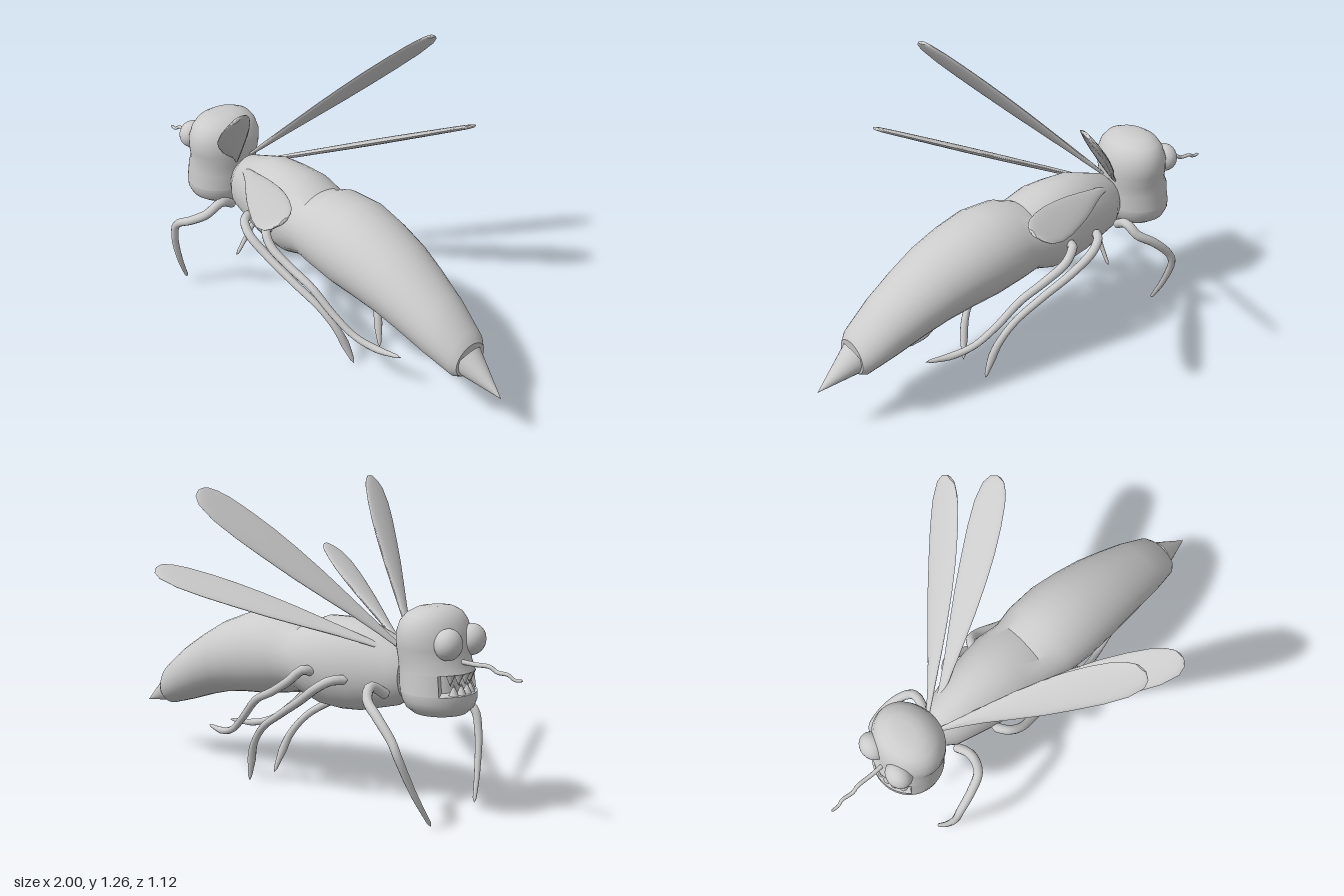
import * as THREE from 'three';
import { toCreasedNormals } from 'three/addons/utils/BufferGeometryUtils.js';

const material = new THREE.MeshStandardMaterial({ color: 0xcccccc });

function add(parent, name, geometry) {
  const mesh = new THREE.Mesh(geometry, material);
  mesh.name = name;
  parent.add(mesh);
  return mesh;
}

// Skin a list of closed rings; point(ring, angle) returns [x, y, z]
function loft(rings, sides, point) {
  const pos = [], index = [];
  rings.forEach((ring, i) => {
    for (let j = 0; j < sides; j++) {
      pos.push(...point(ring, (j / sides) * Math.PI * 2));
      if (i === rings.length - 1) continue;
      const a = i * sides + j, b = i * sides + (j + 1) % sides;
      index.push(a, a + sides, b, b, a + sides, b + sides);
    }
  });
  const g = new THREE.BufferGeometry();
  g.setAttribute('position', new THREE.Float32BufferAttribute(pos, 3));
  g.setIndex(index);
  return toCreasedNormals(g, Math.PI / 5);
}

// Tube through points whose radius follows a list of values, closed at both ends
function taperedTube(points, radii, segments = 40, sides = 10) {
  const curve = new THREE.CatmullRomCurve3(points.map(p => new THREE.Vector3(...p)));
  const g = new THREE.TubeGeometry(curve, segments, 1, sides);
  const p = g.attributes.position, v = new THREE.Vector3();
  for (let i = 0; i <= segments; i++) {
    const t = (i / segments) * (radii.length - 1);
    const k = Math.min(Math.floor(t), radii.length - 2);
    const end = i === 0 || i === segments;
    const r = end ? 0 : THREE.MathUtils.lerp(radii[k], radii[k + 1], t - k);
    const c = curve.getPointAt(i / segments);
    for (let j = 0; j <= sides; j++) {
      const n = i * (sides + 1) + j;
      v.fromBufferAttribute(p, n).sub(c).multiplyScalar(r).add(c);
      p.setXYZ(n, v.x, v.y, v.z);
    }
  }
  return g;
}

// Lens-shaped wing blade: fraction of the length, inner z, outer z, half thickness
const wingRings = [
  [0, 0.04, 0.04, 0], [0, 0.03, 0.05, 0.006], [0.1, 0.065, 0.105, 0.009], [0.2, 0.1, 0.165, 0.011],
  [0.33, 0.145, 0.25, 0.012], [0.46, 0.192, 0.333, 0.013], [0.6, 0.248, 0.415, 0.013], [0.72, 0.302, 0.482, 0.012],
  [0.83, 0.36, 0.535, 0.011], [0.92, 0.415, 0.56, 0.01], [0.965, 0.452, 0.553, 0.009], [0.99, 0.485, 0.53, 0.007],
  [0.995, 0.508, 0.508, 0],
];
function wing(root, tip, side) {
  const dx = tip[0] - root[0], dy = tip[1] - root[1];
  const length = Math.hypot(dx, dy), c = dx / length, s = dy / length;
  return loft(wingRings, 24, ([t, inner, outer, thick], a) => {
    const z = (inner + outer) / 2 + Math.cos(a) * (outer - inner) / 2;
    // the inner edge rides a little higher than the outer edge
    const n = thick * Math.sin(a) * side - 0.2 * (z - 0.04 - 0.47 * t);
    return [root[0] + dx * t - n * s, root[1] + dy * t + n * c, z * side];
  });
}

export function createModel() {
  const model = new THREE.Group();
  model.name = 'insect';

  // Thorax and abdomen: x, bottom, top, half width
  const bodyRings = [
    [-0.48, 0.56, 0.56, 0], [-0.48, 0.46, 0.65, 0.07], [-0.44, 0.43, 0.69, 0.1], [-0.27, 0.385, 0.75, 0.145],
    [-0.18, 0.378, 0.752, 0.162], [-0.09, 0.385, 0.748, 0.172], [0.01, 0.42, 0.71, 0.165], [0.09, 0.405, 0.742, 0.18],
    [0.22, 0.383, 0.746, 0.187], [0.34, 0.372, 0.715, 0.178], [0.46, 0.355, 0.67, 0.165], [0.57, 0.325, 0.61, 0.148],
    [0.69, 0.285, 0.535, 0.128], [0.81, 0.25, 0.44, 0.1], [0.835, 0.262, 0.4, 0.08], [0.82, 0.32, 0.32, 0],
  ];
  add(model, 'body', loft(bodyRings, 32, ([x, lo, hi, w], a) =>
    [x, (lo + hi) / 2 + Math.cos(a) * (hi - lo) / 2, -Math.sin(a) * w]));

  // Stinger
  const stingerAxis = new THREE.Vector3(0.18, -0.09, 0);
  const stinger = add(model, 'stinger', new THREE.ConeGeometry(0.068, stingerAxis.length(), 24));
  stinger.position.set(0.907, 0.28, 0);
  stinger.quaternion.setFromUnitVectors(new THREE.Vector3(0, 1, 0), stingerAxis.clone().normalize());

  // Head: y, front x, back x, half width, mouth depth factor
  const headRings = [
    [0.426, -0.64, -0.64, 0, 1], [0.428, -0.69, -0.58, 0.06, 1], [0.438, -0.735, -0.53, 0.105, 1],
    [0.46, -0.758, -0.505, 0.135, 1], [0.49, -0.768, -0.49, 0.15, 1], [0.52, -0.767, -0.482, 0.155, 1],
    [0.522, -0.767, -0.482, 0.155, 0.55], [0.598, -0.757, -0.475, 0.15, 0.55], [0.6, -0.757, -0.475, 0.15, 1],
    [0.64, -0.74, -0.47, 0.147, 1], [0.69, -0.735, -0.465, 0.158, 1], [0.74, -0.73, -0.466, 0.162, 1],
    [0.785, -0.715, -0.48, 0.148, 1], [0.815, -0.695, -0.505, 0.125, 1], [0.834, -0.665, -0.54, 0.085, 1],
    [0.84, -0.635, -0.57, 0.045, 1], [0.84, -0.605, -0.605, 0, 1],
  ];
  const head = new THREE.Group();
  head.name = 'head';
  model.add(head);
  add(head, 'skull', loft(headRings, 48, ([y, front, back, w, mouth], a) => {
    const k = Math.abs(a - Math.PI) < 0.8 ? mouth : 1;
    return [(front + back) / 2 + k * Math.cos(a) * (back - front) / 2, y, k * Math.sin(a) * w];
  }));

  // Teeth around both jaws
  for (const upper of [true, false]) {
    for (let i = -2; i <= 2; i++) {
      const a = (i + (upper ? 0 : 0.4)) * 0.28;
      const tooth = add(head, upper ? 'upperTooth' : 'lowerTooth', new THREE.ConeGeometry(0.019, 0.045, 8));
      tooth.position.set(-0.615 - 0.128 * Math.cos(a), upper ? 0.578 : 0.542, 0.128 * Math.sin(a));
      if (upper) tooth.rotation.x = Math.PI;
    }
  }

  // Single wavy feeler
  add(head, 'feeler', taperedTube([[-0.7, 0.645, -0.012], [-0.79, 0.64, -0.012], [-0.86, 0.64, -0.015],
    [-0.89, 0.624, -0.012], [-0.94, 0.622, -0.018], [-0.965, 0.606, -0.014], [-1, 0.608, -0.015]],
    [0.01, 0.009, 0.008, 0.006], 40, 8));

  for (const side of [1, -1]) {
    const label = side > 0 ? 'left' : 'right';

    const eye = add(head, label + 'Eye', new THREE.SphereGeometry(0.06, 24, 16));
    eye.position.set(-0.718, 0.714, side * 0.078);
    eye.scale.x = 0.85;

    add(model, label + 'UpperWing', wing([-0.47, 0.67], [0.115, 1.275], side));
    add(model, label + 'LowerWing', wing([-0.43, 0.65], [0.36, 0.96], side));

    // Legs: the two sides differ slightly in stance
    const pick = (left, right) => (side > 0 ? left : right);
    const spread = (left, right) => side * pick(left, right);
    add(model, label + 'FrontLeg', taperedTube([[-0.45, 0.48, side * 0.08], [-0.43, 0.53, side * 0.17],
      [-0.45, 0.49, spread(0.23, 0.215)], [-0.52, 0.44, spread(0.262, 0.245)],
      [-0.6, pick(0.39, 0.36), spread(0.282, 0.258)], [-0.625, 0.31, spread(0.278, 0.257)],
      [-0.65, 0.16, spread(0.24, 0.19)], [-0.67, pick(0.035, 0.012), spread(0.192, 0.1)]],
      [0.02, 0.02, 0.019, 0.017, 0.015, 0.012, 0.007]));
    add(model, label + 'MiddleLeg', taperedTube([[-0.29, 0.53, side * 0.13], [-0.25, 0.53, side * 0.19],
      [-0.2, 0.5, spread(0.21, 0.212)], [-0.1, 0.43, spread(0.195, 0.2)], [0.03, 0.35, spread(0.168, 0.17)],
      [0.15, 0.27, spread(0.135, 0.145)], [0.22, 0.18, spread(0.105, 0.125)], [0.25, 0.09, spread(0.078, 0.108)],
      [0.27, 0.01, spread(0.056, 0.098)]],
      [0.02, 0.019, 0.018, 0.017, 0.016, 0.015, 0.015, 0.018, 0.006]));
    add(model, label + 'HindLeg', taperedTube([[-0.13, 0.54, side * 0.14], [-0.11, 0.555, side * 0.195],
      [-0.06, 0.51, side * 0.214], [0.04, 0.45, side * 0.2], [0.15, 0.395, side * 0.182],
      [0.25, 0.3, side * 0.155], [0.34, 0.228, side * 0.125], [0.43, 0.2, side * 0.095],
      [0.54, 0.202, side * 0.065]],
      [0.02, 0.019, 0.018, 0.017, 0.016, 0.015, 0.014, 0.015, 0.006]));
  }
  return model;
}
